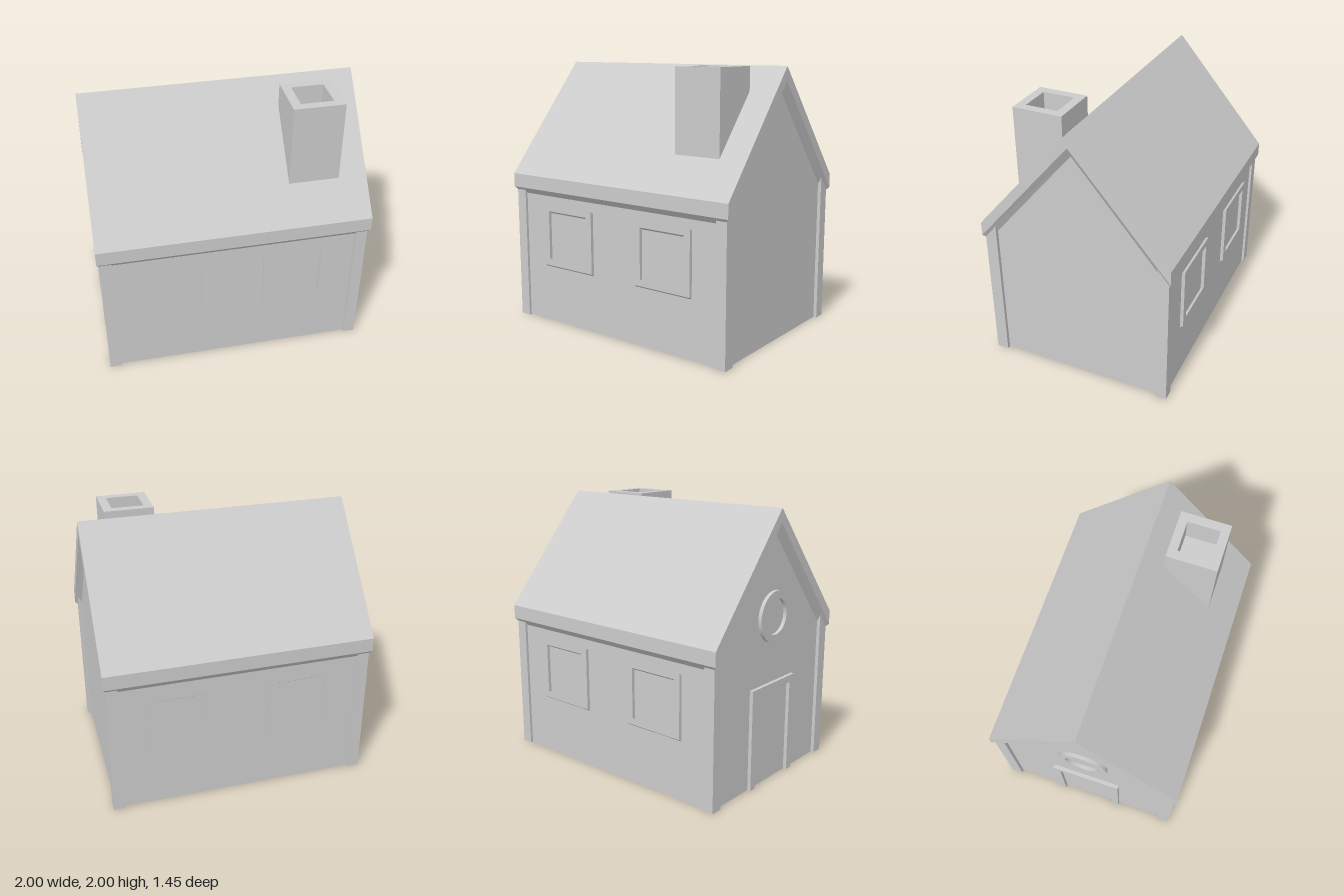
import * as THREE from 'three';

const mat = new THREE.MeshStandardMaterial({ color: 0xcccccc, flatShading: true });
const smoothMat = new THREE.MeshStandardMaterial({ color: 0xcccccc });

const polygon = (pts) => new THREE.Shape(pts.map(([x, y]) => new THREE.Vector2(x, y)));
const rect = (x0, y0, x1, y1) => polygon([[x0, y0], [x1, y0], [x1, y1], [x0, y1]]);

function extrude(shape, depth, curveSegments = 12) {
  return new THREE.ExtrudeGeometry(shape, { depth, bevelEnabled: false, curveSegments });
}

// Profile in (z, y), extruded along x and centred
function alongX(pts, length) {
  return extrude(polygon(pts), length).translate(0, 0, -length / 2).rotateY(Math.PI / 2);
}

// Sloped moulding between the roof's lower edge and the walls
function eavesMoulding(outer, inner) {
  const ring = ({ x, z, eave, apex }) => [
    [x, eave, z], [x, apex, 0], [x, eave, -z],
    [-x, eave, -z], [-x, apex, 0], [-x, eave, z],
  ];
  const o = ring(outer), n = ring(inner), pos = [];
  for (let i = 0; i < 6; i++) {
    const j = (i + 1) % 6;
    pos.push(...o[i], ...n[i], ...n[j], ...o[i], ...n[j], ...o[j]);
  }
  const geo = new THREE.BufferGeometry();
  geo.setAttribute('position', new THREE.Float32BufferAttribute(pos, 3));
  geo.computeVertexNormals();
  return geo;
}

// Window surround whose back is slightly lower than its front
function windowFrame() {
  const depth = 0.025;
  const shape = rect(-0.243, 0.46, 0.243, 0.94);
  shape.holes.push(rect(-0.19, 0.51, 0.19, 0.888));
  const geo = extrude(shape, depth);
  const p = geo.attributes.position;
  for (let i = 0; i < p.count; i++) p.setY(i, p.getY(i) + (p.getZ(i) - depth) * 0.7);
  geo.computeVertexNormals();
  return geo;
}

export function createModel() {
  const house = new THREE.Group();
  house.name = 'house';
  const add = (name, geo, material = mat) => {
    const mesh = new THREE.Mesh(geo, material);
    mesh.name = name;
    house.add(mesh);
    return mesh;
  };
  const wallX = 0.955, wallZ = 0.69, roofZ = 0.727;

  // Walls with gables
  add('walls', alongX([[-wallZ, 0], [wallZ, 0], [wallZ, 1], [0, 1.82], [-wallZ, 1]], wallX * 2));

  // Roof slabs and the moulding beneath
  add('roof', alongX([
    [roofZ, 1.15], [0, 2], [-roofZ, 1.15], [-roofZ, 1.045], [0, 1.9], [roofZ, 1.045],
  ], 2));
  add('eavesMoulding', eavesMoulding(
    { x: 1, z: roofZ, eave: 1.045, apex: 1.9 },
    { x: wallX, z: wallZ, eave: 1, apex: 1.82 },
  ));

  // Corner posts
  for (const sx of [-1, 1]) for (const sz of [-1, 1]) {
    add('cornerPost', new THREE.BoxGeometry(0.085, 1.14, 0.09))
      .position.set(sx * 0.9385, 0.57, sz * 0.665);
  }

  // Two windows on the front and two on the back
  const frame = windowFrame();
  for (const sx of [-1, 1]) for (const sz of [-1, 1]) {
    const w = add(sz > 0 ? 'frontWindow' : 'backWindow', frame);
    w.position.set(sx * 0.448, 0, sz * wallZ);
    if (sz < 0) w.rotation.y = Math.PI;
  }

  // Door surround on the right-hand gable
  const door = add('doorFrame', extrude(polygon([
    [-0.265, 0], [-0.21, 0], [-0.21, 0.7], [0.21, 0.7],
    [0.21, 0], [0.265, 0], [0.265, 0.755], [-0.265, 0.755],
  ]), 0.027));

  // Round window above the door
  const ring = new THREE.Shape().absarc(0, 0, 0.187, 0, Math.PI * 2);
  ring.holes.push(new THREE.Path().absarc(0, 0, 0.13, 0, Math.PI * 2, true));
  const round = add('roundWindow', extrude(ring, 0.027, 32), smoothMat);
  round.position.y = 1.24;
  for (const m of [door, round]) {
    m.position.x = -wallX;
    m.rotation.y = -Math.PI / 2;
  }

  // Hollow chimney with a flat floor inside
  const flue = rect(-0.185, -0.185, 0.185, 0.185);
  flue.holes.push(rect(-0.118, -0.12, 0.118, 0.12));
  add('chimney', extrude(flue, 0.65).rotateX(-Math.PI / 2)).position.set(0.605, 1.35, 0.333);
  add('chimneyFloor', new THREE.BoxGeometry(0.24, 0.4, 0.244)).position.set(0.605, 1.6, 0.333);

  return house;
}
